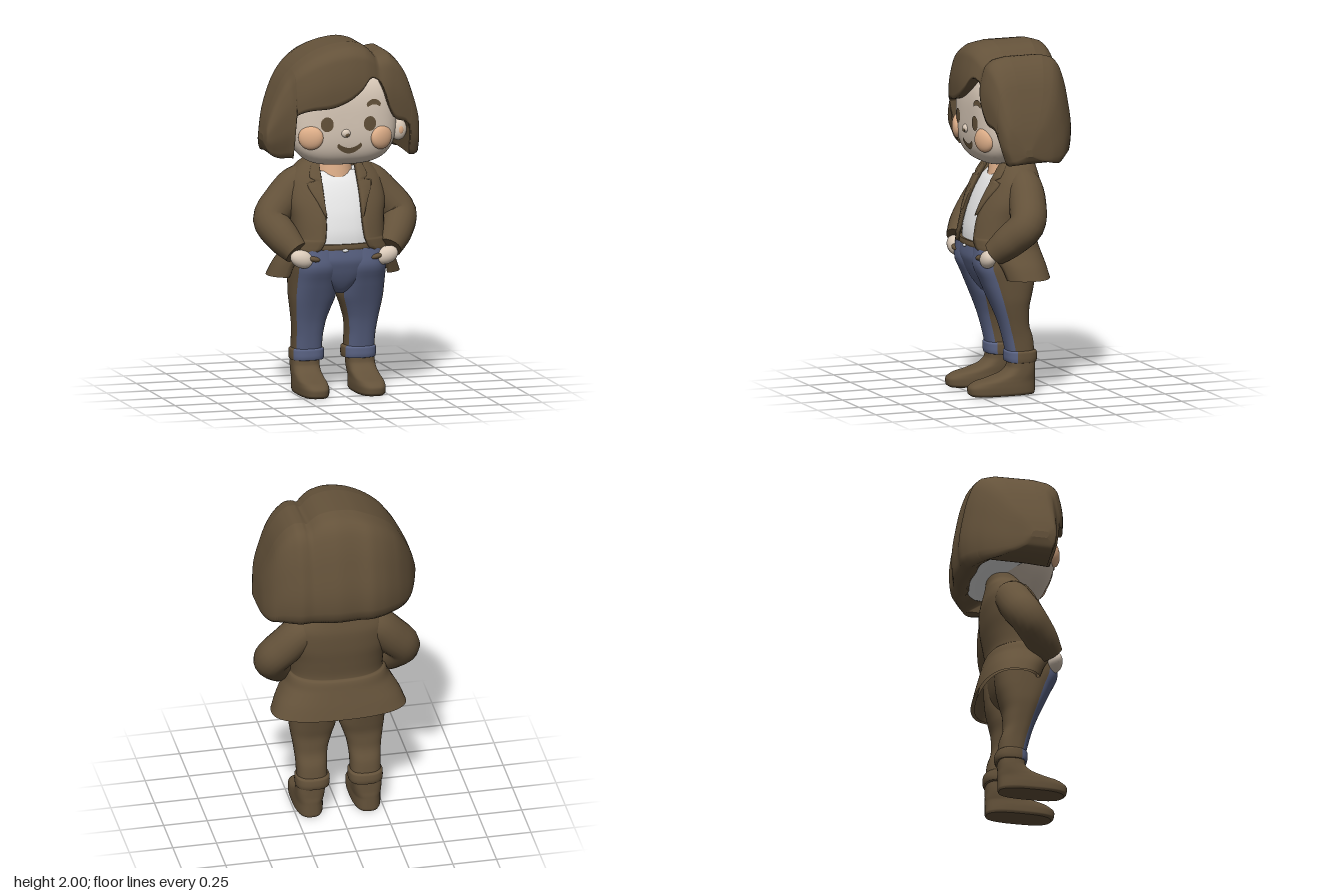
import * as THREE from 'three';

const mat = (name, color) => Object.assign(new THREE.MeshStandardMaterial({ color, side: THREE.DoubleSide }), { name });
const brown = mat('warm brown', 0x64523a), skinTone = mat('pale skin', 0xdacab9), peach = mat('peach', 0xe0b08a);
const white = mat('white cloth', 0xe6e6e6), denim = mat('denim blue', 0x5a6384);
const V = (x, y, z) => new THREE.Vector3(x, y, z);

// Smooth lookup in a table of rows [key, value, value, ...]
function at(rows, k) {
  const last = rows.length - 1;
  if (k <= rows[0][0]) return rows[0].slice(1);
  if (k >= rows[last][0]) return rows[last].slice(1);
  let i = 0;
  while (k > rows[i + 1][0]) i++;
  const h = rows[i + 1][0] - rows[i][0], t = (k - rows[i][0]) / h;
  return rows[0].slice(1).map((_, c) => {
    const v = (j) => rows[j][c + 1];
    const d = (j) => (v(j + 1) - v(j)) / (rows[j + 1][0] - rows[j][0]);
    const m = (j) => {
      if (j === 0) return d(0);
      if (j === last) return d(last - 1);
      const a = d(j - 1), b = d(j);
      return a * b <= 0 ? 0 : 2 * a * b / (a + b);
    };
    const t2 = t * t, t3 = t2 * t;
    return (2 * t3 - 3 * t2 + 1) * v(i) + (t3 - 2 * t2 + t) * h * m(i) + (3 * t2 - 2 * t3) * v(i + 1) + (t3 - t2) * h * m(i + 1);
  });
}
// Keys of a table, with s steps between rows
const keys = (rows, s = 4) => rows.flatMap((r, i) => i === rows.length - 1 ? [r[0]]
  : Array.from({ length: s }, (_, j) => r[0] + (rows[i + 1][0] - r[0]) * j / s));

// Surface through a list of cross-sections
function surface(sections, closed = false, caps = false) {
  const n = sections[0].length, pos = [], idx = [];
  sections.forEach((s) => s.forEach((p) => pos.push(p.x, p.y, p.z)));
  for (let i = 0; i < sections.length - 1; i++) {
    for (let j = 0; j < (closed ? n : n - 1); j++) {
      const a = i * n + j, b = i * n + (j + 1) % n;
      idx.push(a, b, b + n, a, b + n, a + n);
    }
  }
  if (caps) [0, sections.length - 1].forEach((k) => {
    const s = sections[k], base = pos.length / 3;
    const c = s.reduce((q, p) => q.add(p), V(0, 0, 0)).divideScalar(n);
    [...s, c].forEach((p) => pos.push(p.x, p.y, p.z));
    for (let j = 0; j < n; j++) {
      const a = base + j, b = base + (j + 1) % n;
      idx.push(base + n, ...(k === 0 ? [b, a] : [a, b]));
    }
  });
  const g = new THREE.BufferGeometry();
  g.setAttribute('position', new THREE.Float32BufferAttribute(pos, 3));
  g.setIndex(idx);
  g.computeVertexNormals();
  return g;
}
// Rounded horizontal arc; angle 0 faces the front, then runs through the model's left
function arc(y, cx, w, zf, zb, a0, a1, n = 32, p = 2.5) {
  const pw = (v) => Math.sign(v) * Math.abs(v) ** (2 / p), mid = (zf + zb) / 2, d = (zf - zb) / 2;
  return Array.from({ length: n + 1 }, (_, i) => {
    const a = a0 + (a1 - a0) * i / n;
    return V(cx + w * pw(Math.sin(a)), y, mid + d * pw(Math.cos(a)));
  });
}
const TAU = Math.PI * 2;
// Rows: [y, centre x, half width, front z, back z]
const loft = (rows, s = 1, a0 = 0, a1 = TAU, caps = true, p = 2.5) => surface(keys(rows).map((y) => {
  const [cx, w, f, b] = at(rows, y), pts = arc(y, cx * s, w, f, b, a0, a1, 36, p);
  if (a1 - a0 === TAU) pts.pop();
  return pts;
}), a1 - a0 === TAU, caps);

// Head: a flattened-front rounded form whose jaw rises towards the nape
const HEAD = { c: V(0.02, 1.57, 0.04), r: V(0.312, 0.27, 0.215) };
const faceZ = (x, y) => {
  const u = Math.abs((x - HEAD.c.x) / HEAD.r.x), v = Math.abs((y - HEAD.c.y) / HEAD.r.y);
  return HEAD.c.z + HEAD.r.z * Math.max(0, 1 - u ** 3 - v ** 3) ** 0.25;
};
function headGeometry() {
  const g = new THREE.SphereGeometry(1, 72, 56).rotateX(Math.PI / 2), q = g.attributes.position;
  for (let i = 0; i < q.count; i++) {
    const v = V().fromBufferAttribute(q, i), norm = Math.cbrt(Math.abs(v.x) ** 3 + Math.abs(v.y) ** 3);
    const k = norm > 1e-6 ? Math.hypot(v.x, v.y) ** (2 / 3) / norm : 0;
    v.set(v.x * k, v.y * k, Math.sign(v.z) * Math.sqrt(Math.abs(v.z)));
    if (v.y < 0) v.y *= 1 - 0.27 * THREE.MathUtils.smoothstep(-v.z, -0.45, 0.4);
    v.multiply(HEAD.r).add(HEAD.c);
    q.setXYZ(i, v.x, v.y, v.z);
  }
  g.computeVertexNormals();
  return g;
}
// Lay a flat geometry on the face
function onFace(g, lift = 0.005) {
  const q = g.attributes.position;
  for (let i = 0; i < q.count; i++) q.setZ(i, faceZ(q.getX(i), q.getY(i)) + lift);
  g.computeVertexNormals();
  return g;
}
// Curved band with blunt ends of half thickness e, bowed by the control height yMid
function band(x0, x1, yEnd, yMid, e) {
  const s = new THREE.Shape(), m = (x0 + x1) / 2;
  s.moveTo(x0, yEnd + e).quadraticCurveTo(m, yMid + e * 1.2, x1, yEnd + e);
  s.quadraticCurveTo(x1 + e, yEnd, x1, yEnd - e).quadraticCurveTo(m, yMid - e * 1.2, x0, yEnd - e);
  s.quadraticCurveTo(x0 - e, yEnd, x0, yEnd + e);
  return new THREE.ShapeGeometry(s, 12);
}

// Hair: yz sections swept across x, with a fringe line cut over the face
function hairGeometry() {
  const top = [[-0.452, 1.5], [-0.43, 1.58], [-0.38, 1.7], [-0.32, 1.81], [-0.25, 1.89], [-0.15, 1.955], [-0.05, 1.99], [0.04, 2],
    [0.12, 1.985], [0.18, 1.945], [0.2, 1.925], [0.22, 1.937], [0.26, 1.94], [0.31, 1.91], [0.37, 1.83], [0.42, 1.7], [0.46, 1.55], [0.476, 1.44]];
  const front = [[-0.452, 0.14], [-0.44, 0.185], [-0.35, 0.205], [-0.3, 0.22], [-0.28, 0.24], [-0.2, 0.275], [-0.1, 0.295], [0, 0.3], [0.1, 0.29],
    [0.17, 0.27], [0.2, 0.258], [0.23, 0.262], [0.3, 0.25], [0.4, 0.215], [0.45, 0.18], [0.476, 0.08]];
  const back = [[-0.452, 0.04], [-0.44, 0], [-0.4, -0.1], [-0.35, -0.17], [-0.3, -0.22], [-0.2, -0.285], [-0.13, -0.305], [-0.07, -0.3],
    [0.04, -0.307], [0.15, -0.285], [0.2, -0.274], [0.25, -0.278], [0.3, -0.26], [0.4, -0.19], [0.45, -0.1], [0.476, 0.04]];
  const bottom = [[-0.452, 1.46], [-0.435, 1.41], [-0.4, 1.375], [-0.35, 1.36], [0.35, 1.36], [0.42, 1.345], [0.455, 1.36], [0.476, 1.4]];
  const fringe = [[-0.285, 1.3], [-0.28, 1.61], [-0.2, 1.64], [-0.1, 1.65], [0, 1.685], [0.08, 1.74], [0.15, 1.81], [0.2, 1.785],
    [0.225, 1.73], [0.25, 1.65], [0.3, 1.565], [0.36, 1.545], [0.385, 1.5], [0.395, 1.3]];
  const frontBulge = [[0, 0.88], [0.35, 0.985], [0.6, 1], [0.88, 0.95], [0.97, 0.86], [1, 0.7]];
  const backBulge = [[0, 0.075], [0.08, 0.015], [0.25, 0], [0.6, 0.05], [0.85, 0.125], [0.96, 0.21], [1, 0.34]];
  const xs = Array.from({ length: 100 }, (_, i) => 0.012 + 0.464 * Math.cos(Math.PI * i / 99));
  xs.push(-0.285, -0.28, 0.385, 0.395);
  xs.sort((a, b) => b - a);
  return surface(xs.map((x) => {
    const [[t], [f], [b], [lo], [fr]] = [top, front, back, bottom, fringe].map((r) => at(r, x));
    const h0 = Math.max(0, (fr - lo) / (t - lo)), pts = [];
    const put = (h, k) => pts.push(V(x, lo + (t - lo) * h, b + (f - b) * k));
    put(h0 + 0.02, at(frontBulge, h0)[0] - 0.3);
    for (let i = 0; i <= 20; i++) {
      const h = h0 + (1 - h0) * Math.sin(i / 20 * Math.PI / 2);
      put(h, at(frontBulge, h)[0]);
    }
    for (let i = 0; i <= 24; i++) {
      const h = Math.cos(i / 24 * Math.PI / 2);
      put(h, at(backBulge, h)[0]);
    }
    put(0.03, 0.16);
    return pts;
  }), true, true);
}

// Jacket rows: [y, half width, front z, back z, half opening]
const JACKET = [[0.67, 0.385, 0.17, -0.18, 0.3], [0.74, 0.355, 0.2, -0.165, 0.28], [0.8, 0.318, 0.24, -0.15, 0.24], [0.84, 0.295, 0.272, -0.14, 0.15],
  [0.885, 0.278, 0.272, -0.128, 0.125], [0.9, 0.265, 0.268, -0.112, 0.12], [1, 0.27, 0.243, -0.125, 0.11], [1.1, 0.285, 0.203, -0.14, 0.11],
  [1.2, 0.275, 0.15, -0.145, 0.11], [1.29, 0.21, 0.1, -0.13, 0.11], [1.34, 0.14, 0.07, -0.12, 0.1], [1.38, 0.125, 0.05, -0.115, 0.1]];
const jacketGeometry = () => surface(keys(JACKET).map((y) => {
  const [w, f, b, open] = at(JACKET, y), a = Math.asin((open / w) ** 1.25);
  const inner = arc(y, 0, w - 0.02, f - 0.02, b + 0.02, a, TAU - a, 48).reverse();
  return [...arc(y, 0, w, f, b, a, TAU - a, 48), ...inner];
}), true);
const jacketZ = (x, y) => {
  const [w, f, b] = at(JACKET, y);
  return (f + b) / 2 + (f - b) / 2 * Math.max(0, 1 - Math.abs(x / w) ** 2.5) ** 0.4;
};
// Raised lapel with a notch, lying on the jacket front
function lapelGeometry(s) {
  const width = [[1.02, 0.005], [1.1, 0.04], [1.205, 0.085], [1.215, 0.04], [1.235, 0.065], [1.31, 0.04]];
  return surface(keys(width).map((y) => {
    const x0 = at(JACKET, y)[3] - 0.005, w = at(width, y)[0];
    return [[0, 0], [0.1, 0.014], [0.9, 0.014], [1, -0.002]].map(([k, lift]) => V(s * (x0 + w * k), y, jacketZ(x0 + w * k, y) + lift));
  }));
}
// Tapered tube, rows [x, y, z, radius]
function limb(rows, s) {
  const curve = new THREE.CatmullRomCurve3(rows.map((r) => V(r[0] * s, r[1], r[2])));
  const n = 24, fr = curve.computeFrenetFrames(n), radii = rows.map((r, i) => [i / (rows.length - 1), r[3]]);
  return surface(Array.from({ length: n + 1 }, (_, i) => {
    const c = curve.getPointAt(i / n), r = at(radii, i / n)[0];
    return Array.from({ length: 20 }, (_, j) => c.clone()
      .addScaledVector(fr.normals[i], r * Math.cos(j / 20 * TAU)).addScaledVector(fr.binormals[i], r * Math.sin(j / 20 * TAU)));
  }), true, true);
}

export function createModel() {
  const model = new THREE.Group();
  const add = (name, g, m) => {
    const o = new THREE.Mesh(g, m);
    o.name = name;
    model.add(o);
    return o;
  };
  const ball = (name, m, x, y, z, rx, ry, rz) => {
    const o = add(name, new THREE.SphereGeometry(1, 24, 16), m);
    o.position.set(x, y, z);
    o.scale.set(rx, ry, rz);
    return o;
  };
  // Cloth that is denim in front and brown behind
  const twoTone = (name, rows, s, a = 0.97) => {
    add(name + 'Front', loft(rows, s, -a, a, false), denim);
    add(name + 'Back', loft(rows, s, a, TAU - a, false), brown);
  };

  // Head and face
  add('head', headGeometry(), skinTone);
  for (const [x, y] of [[-0.11, 1.555], [0.14, 1.55]]) {
    add('eye', onFace(new THREE.RingGeometry(0.001, 1, 24, 3).scale(0.037, 0.042, 1).translate(x, y, 0)), brown);
  }
  for (const [s, x, y] of [[-1, -0.197, 1.48], [1, 0.215, 1.465]]) {
    ball('cheek', peach, x, y, faceZ(x, y) - 0.008, 0.071, 0.069, 0.033).rotation.y = s * 0.4;
  }
  add('mouth', onFace(band(-0.042, 0.087, 1.428, 1.37, 0.015)), brown);
  add('eyebrow', onFace(band(0.128, 0.2, 1.658, 1.686, 0.014)), brown);
  ball('nose', skinTone, 0, 1.5, faceZ(0, 1.5), 0.026, 0.024, 0.018);
  ball('nostrilShade', brown, 0.004, 1.492, faceZ(0, 1.5) + 0.014, 0.013, 0.011, 0.006);
  ball('ear', skinTone, 0.34, 1.49, 0.145, 0.047, 0.062, 0.035);
  ball('innerEar', peach, 0.345, 1.49, 0.174, 0.016, 0.024, 0.008);
  add('hair', hairGeometry(), brown);
  ball('hairUnderside', white, 0, 1.42, -0.06, 0.36, 0.045, 0.19);

  // Upper body
  add('neck', new THREE.CylinderGeometry(0.09, 0.115, 0.2, 32).translate(0, 1.28, 0.005), peach);
  add('shirt', loft([[0.83, 0, 0.22, 0.245, -0.09], [0.9, 0, 0.22, 0.244, -0.09], [1, 0, 0.22, 0.224, -0.1], [1.1, 0, 0.23, 0.187, -0.11],
    [1.2, 0, 0.2, 0.135, -0.11], [1.26, 0, 0.15, 0.085, -0.1]]), white);
  add('belt', loft([[0.835, 0, 0.23, 0.257, -0.09], [0.845, 0, 0.23, 0.261, -0.09], [0.868, 0, 0.23, 0.258, -0.09]]), brown);
  ball('trouserButton', white, -0.005, 0.833, 0.26, 0.018, 0.009, 0.008);
  add('jacket', jacketGeometry(), brown);

  // Hips
  twoTone('hips', [[0.575, 0, 0.03, 0.16, -0.02], [0.61, 0, 0.09, 0.188, -0.055], [0.66, 0, 0.16, 0.217, -0.082], [0.72, 0, 0.22, 0.242, -0.095],
    [0.78, 0, 0.255, 0.258, -0.1], [0.845, 0, 0.25, 0.254, -0.1]], 1, 1.05);

  for (const s of [1, -1]) {
    const side = s > 0 ? 'left' : 'right';
    // Sleeve, lapel and hand resting at the pocket
    add(side + 'Lapel', lapelGeometry(s), brown);
    add(side + 'Sleeve', limb([[0.13, 1.235, -0.02, 0.075], [0.22, 1.175, -0.015, 0.102], [0.3, 1.09, 0, 0.105], [0.374, 0.995, 0.035, 0.101],
      [0.335, 0.91, 0.11, 0.095], [0.27, 0.825, 0.19, 0.073]], s), brown);
    ball(side + 'Hand', skinTone, s * 0.247, 0.79, 0.22, 0.07, 0.05, 0.042).rotation.z = s * 0.35;
    ball(side + 'PocketEdge', brown, s * 0.18, 0.79, 0.243, 0.035, 0.016, 0.02).rotation.z = s * 0.2;
    // Trouser leg and turned-up cuff
    twoTone(side + 'Leg', [[0.2, 0.153, 0.085, 0.06, -0.09], [0.31, 0.154, 0.087, 0.085, -0.08], [0.4, 0.153, 0.096, 0.11, -0.055],
      [0.48, 0.147, 0.114, 0.14, -0.055], [0.56, 0.139, 0.132, 0.175, -0.072], [0.65, 0.137, 0.136, 0.215, -0.092],
      [0.75, 0.135, 0.138, 0.255, -0.1], [0.84, 0.13, 0.13, 0.25, -0.1]], s);
    twoTone(side + 'Cuff', [[0.18, 0.152, 0.08, 0.06, -0.085], [0.184, 0.152, 0.095, 0.073, -0.098], [0.21, 0.152, 0.098, 0.078, -0.104],
      [0.24, 0.152, 0.097, 0.078, -0.101], [0.252, 0.152, 0.085, 0.066, -0.088]], s, 1.1);
    // Boot with a low toe
    add(side + 'Boot', loft([[0, 0.165, 0.074, 0.285, -0.085], [0.015, 0.165, 0.082, 0.302, -0.09], [0.045, 0.165, 0.083, 0.305, -0.09],
      [0.075, 0.165, 0.081, 0.27, -0.09], [0.095, 0.164, 0.08, 0.19, -0.09], [0.125, 0.163, 0.08, 0.1, -0.088], [0.16, 0.162, 0.08, 0.065, -0.088],
      [0.21, 0.16, 0.08, 0.06, -0.088]], s, 0, TAU, true, 2.8), brown);
  }
  return model;
}
